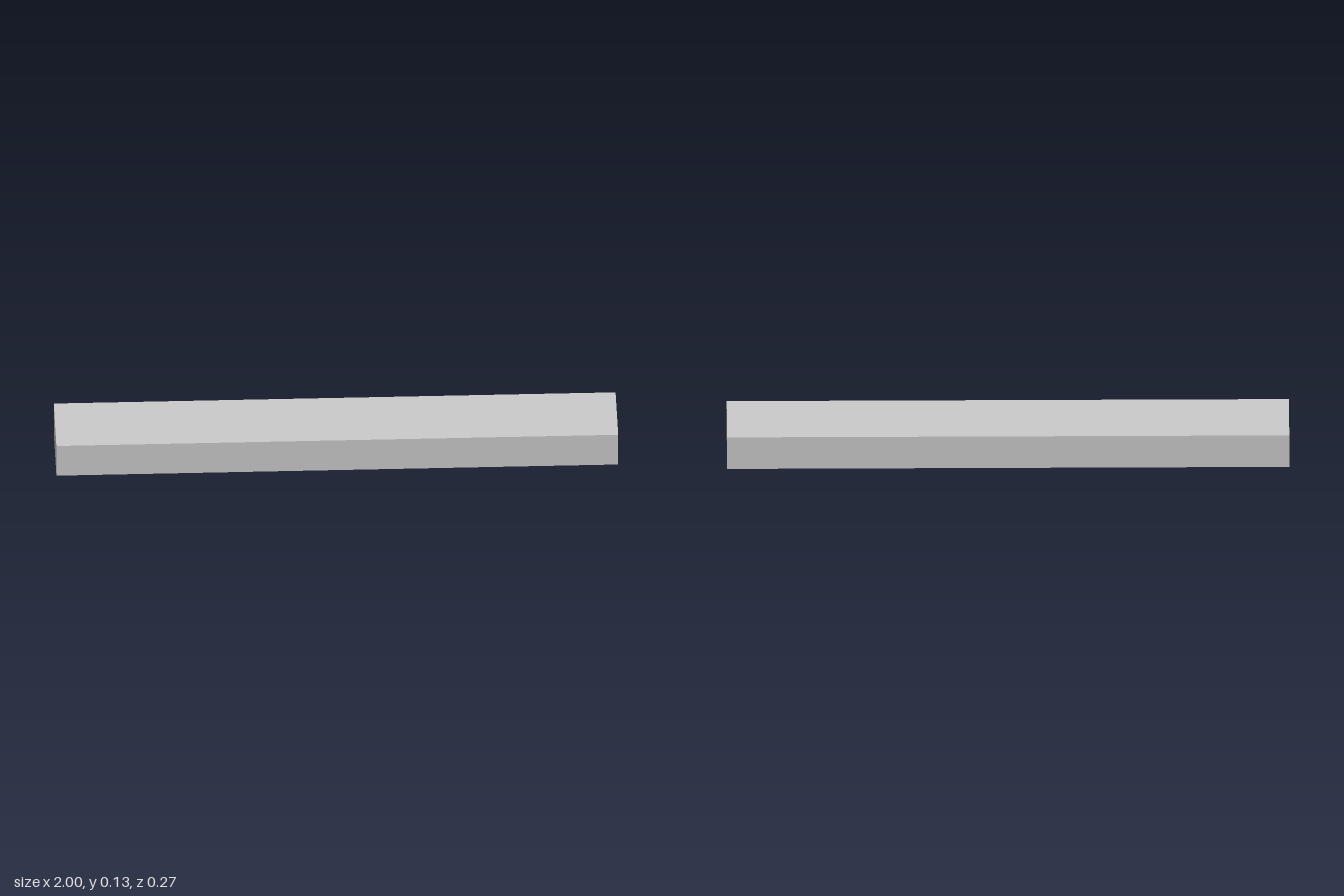
import * as THREE from 'three';

const LENGTH = 2, HEIGHT = 0.128, DEPTH = 0.267;

export function createModel() {
  const group = new THREE.Group();

  // Thin sheet housing: a box left open underneath
  const shell = new THREE.BoxGeometry(LENGTH, HEIGHT, DEPTH);
  const bottomStart = 3 * 6; // faces run +x, -x, +y, -y, +z, -z
  const index = Array.from(shell.index.array);
  index.splice(bottomStart, 6);
  shell.setIndex(index);
  shell.clearGroups();
  const housing = new THREE.Mesh(
    shell,
    new THREE.MeshStandardMaterial({ color: 0xcccccc, side: THREE.DoubleSide })
  );
  housing.name = 'housing';
  housing.position.y = HEIGHT / 2;
  group.add(housing);

  // Two long lamp tubes side by side inside the opening
  const tubeMaterial = new THREE.MeshStandardMaterial({ color: 0xcccccc, flatShading: true });
  for (const side of [-1, 1]) {
    const tube = new THREE.Mesh(new THREE.CylinderGeometry(0.031, 0.031, 1.886, 12), tubeMaterial);
    tube.name = side < 0 ? 'backLampTube' : 'frontLampTube';
    tube.rotation.z = Math.PI / 2;
    tube.position.set(0, 0.032, side * 0.07);
    group.add(tube);
  }

  return group;
}
